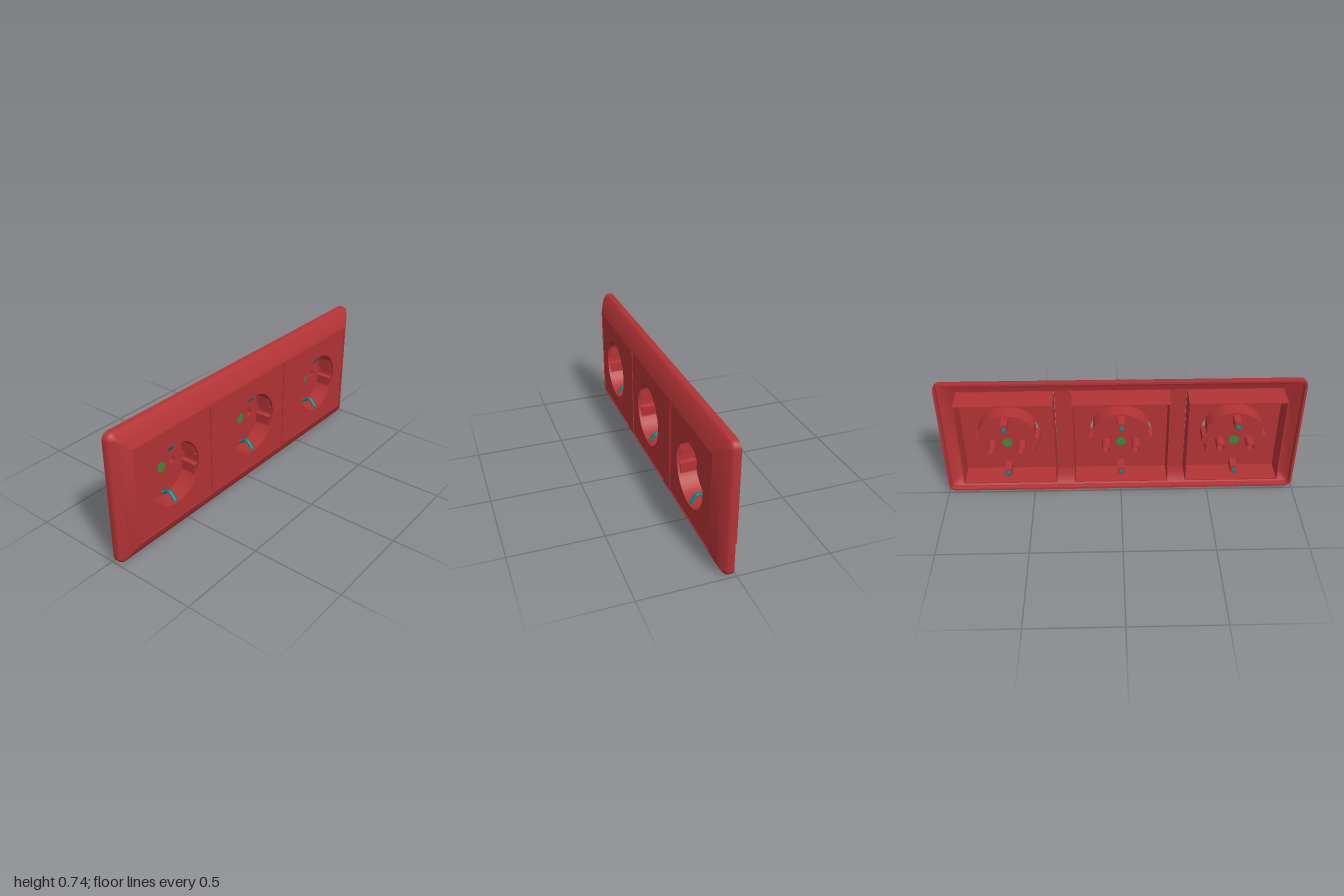
import * as THREE from 'three';
import { toCreasedNormals } from 'three/addons/utils/BufferGeometryUtils.js';

const red = new THREE.MeshStandardMaterial({ color: 0xb23335, side: THREE.DoubleSide });
const teal = new THREE.MeshStandardMaterial({ color: 0x12807f });
const green = new THREE.MeshStandardMaterial({ color: 0x3a8a3a });

const HALF_W = 1, HALF_H = 0.3675, PITCH = 0.63;
const CUP_R = 0.173, PIN_X = 0.082, PIN_R = 0.022;

function add(parent, name, geometry, material = red) {
  const mesh = new THREE.Mesh(geometry, material);
  mesh.name = name;
  parent.add(mesh);
  return mesh;
}

// Extrude a shape between two depths
function slab(shape, z0, z1) {
  const g = new THREE.ExtrudeGeometry(shape, { depth: z1 - z0, bevelEnabled: false, curveSegments: 24 });
  g.translate(0, 0, z0);
  return toCreasedNormals(g, 0.6);
}

function rect(hw, hh, cx = 0, cy = 0) {
  return new THREE.Shape([[-1, -1], [1, -1], [1, 1], [-1, 1]]
    .map(([x, y]) => new THREE.Vector2(cx + x * hw, cy + y * hh)));
}

function circle(r, cx = 0, cy = 0) {
  return new THREE.Shape().absarc(cx, cy, r, 0, Math.PI * 2, false);
}

// Round outline with two flat guide ribs and a groove on each side
function cupOutline(grow = 0) {
  const pts = [];
  const flat = 0.15, groove = 0.03;
  for (let i = 0; i < 180; i++) {
    const a = (i / 180) * Math.PI * 2;
    let x = CUP_R * Math.cos(a);
    const y = CUP_R * Math.sin(a);
    if (Math.abs(x) > flat && Math.abs(y) > groove) x = Math.sign(x) * flat;
    const k = 1 + grow / CUP_R;
    pts.push(new THREE.Vector2(x * k, y * k));
  }
  return new THREE.Shape(pts);
}

// Rounded rectangle loop, counterclockwise
function roundedLoop(hw, hh, r, z, steps = 6) {
  const pts = [];
  [[1, 1], [-1, 1], [-1, -1], [1, -1]].forEach(([sx, sy], q) => {
    for (let i = 0; i <= steps; i++) {
      const a = (q + i / steps) * Math.PI / 2;
      pts.push([sx * (hw - r) + r * Math.cos(a), sy * (hh - r) + r * Math.sin(a), z]);
    }
  });
  return pts;
}

function loft(loops) {
  const n = loops[0].length, index = [];
  for (let j = 0; j < loops.length - 1; j++) {
    for (let i = 0; i < n; i++) {
      const k = (i + 1) % n;
      const a = j * n + i, b = j * n + k, c = a + n, d = b + n;
      index.push(a, b, d, a, d, c);
    }
  }
  const g = new THREE.BufferGeometry();
  g.setAttribute('position', new THREE.Float32BufferAttribute(loops.flat(2), 3));
  g.setIndex(index);
  return toCreasedNormals(g, 0.6);
}

// Hollow cover frame: sloping rim and a flat face with three windows
function makeFrame() {
  const frame = new THREE.Group();
  frame.name = 'coverFrame';
  const profile = [ // depth, inset: inside of the shell, then outside
    [0.095, 0.1], [0.078, 0.062], [0.045, 0.016], [0.015, 0.012],
    [0.015, 0], [0.042, 0], [0.05, 0.003], [0.057, 0.011],
    [0.072, 0.033], [0.086, 0.057], [0.105, 0.098],
  ];
  add(frame, 'frameRim', loft(profile.map(([z, inset]) =>
    roundedLoop(HALF_W - inset, HALF_H - inset, Math.max(0.04 - inset, 0.004), z))));
  const face = rect(HALF_W - 0.098, HALF_H - 0.098);
  for (const i of [-1, 0, 1]) face.holes.push(rect(0.2675, 0.2675, i * PITCH));
  add(frame, 'frameFace', slab(face, 0.093, 0.105));
  return frame;
}

function makeSocket() {
  const socket = new THREE.Group();
  socket.name = 'socket';
  const cy = -0.005;

  // Square insert, open at the back
  const walls = rect(0.265, 0.265);
  walls.holes.push(rect(0.26, 0.26));
  add(socket, 'insertWalls', slab(walls, -0.043, 0.102));
  const plate = rect(0.2605, 0.2605);
  plate.holes.push(circle(CUP_R, 0, cy));
  add(socket, 'insertPlate', slab(plate, 0.09, 0.102));

  // Recessed cup with pin openings
  const cup = new THREE.Group();
  cup.name = 'cup';
  cup.position.y = cy;
  socket.add(cup);
  const wall = cupOutline(0.005);
  wall.holes.push(cupOutline());
  add(cup, 'cupWall', slab(wall, -0.002, 0.09));
  const floor = cupOutline(0.004);
  for (const s of [-1, 1]) floor.holes.push(circle(PIN_R, s * PIN_X));
  add(cup, 'cupFloor', slab(floor, -0.004, 0.001));

  for (const s of [-1, 1]) {
    const sleeve = circle(PIN_R + 0.001, s * PIN_X);
    sleeve.holes.push(circle(PIN_R - 0.002, s * PIN_X));
    add(cup, 'pinSleeve', slab(sleeve, -0.08, 0));

    // Earth contact: flattened springy strip held in a guide block
    const block = rect(0.018, 0.021, 0, s * 0.15);
    add(cup, 'contactGuide', slab(block, -0.08, -0.001));
    const path = new THREE.CatmullRomCurve3([
      [0.148, -0.105], [0.148, -0.05], [0.148, 0], [0.143, 0.02],
      [0.127, 0.042], [0.128, 0.06], [0.147, 0.077], [0.164, 0.09],
    ].map(([r, z]) => new THREE.Vector3(0, s * r, z)));
    const strip = add(cup, 'earthContact', new THREE.TubeGeometry(path, 40, 0.0085, 10), teal);
    strip.scale.x = 1.6;
    for (const [r, z, dir] of [[0.148, -0.105, -1], [0.164, 0.09, 1]]) {
      const cap = add(cup, 'contactTip', new THREE.SphereGeometry(0.0085, 12, 8), teal);
      cap.position.set(0, s * r, z - dir * 0.0005);
      cap.scale.set(1.6, 1, dir < 0 ? 0.1 : 0.9);
    }
  }

  // Central screw
  const screw = new THREE.CylinderGeometry(0.028, 0.028, 0.01, 24);
  screw.rotateX(Math.PI / 2);
  add(cup, 'centreScrew', screw, green).position.z = -0.001;
  return socket;
}

export function createModel() {
  const model = new THREE.Group();
  model.name = 'tripleWallSocket';
  model.add(makeFrame());
  for (const i of [-1, 0, 1]) {
    const socket = makeSocket();
    socket.position.x = i * PITCH;
    model.add(socket);
  }
  // The sockets face +x
  model.rotation.y = Math.PI / 2;
  model.position.y = HALF_H;
  const root = new THREE.Group();
  root.name = 'wallSocket';
  root.add(model);
  return root;
}
